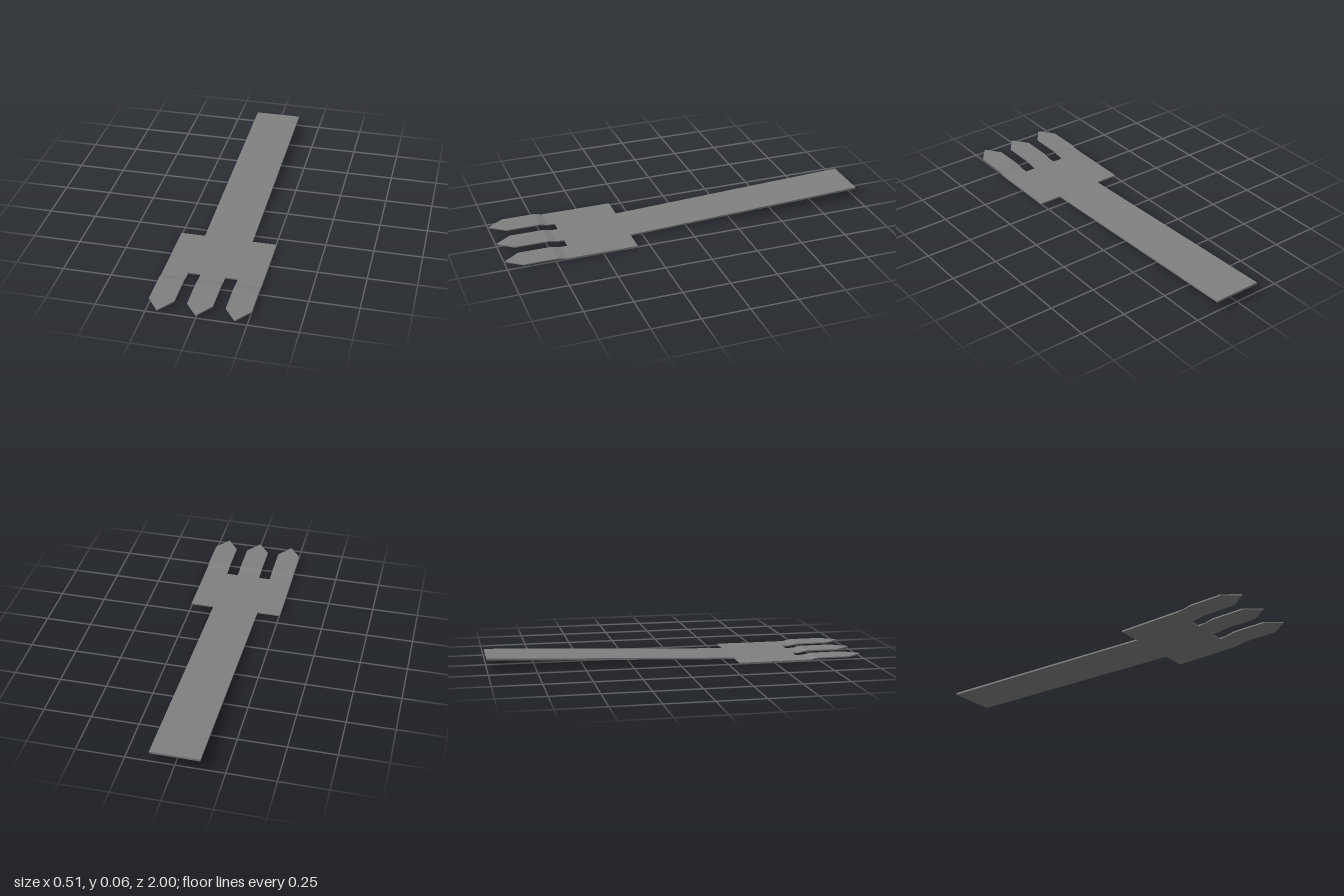
import * as THREE from 'three';

const material = new THREE.MeshStandardMaterial({ color: 0x808080, flatShading: true });

// Flat bar along z. Each station is [z, half width, bottom y, top y]; walls
// join neighbouring stations, and the chosen ends are capped.
function bar(name, x, stations, capBack, capFront) {
  const rings = stations.map(([z, w, bottom, top]) => [
    new THREE.Vector3(x - w, bottom, z),
    new THREE.Vector3(x + w, bottom, z),
    new THREE.Vector3(x + w, top, z),
    new THREE.Vector3(x - w, top, z),
  ]);
  const positions = [];
  const triangle = (a, b, c) => {
    if (new THREE.Triangle(a, b, c).getArea() < 1e-9) return; // collapsed at a point
    for (const p of [a, b, c]) positions.push(p.x, p.y, p.z);
  };
  const quad = (a, b, c, d) => {
    triangle(a, b, c);
    triangle(a, c, d);
  };
  for (let i = 0; i < rings.length - 1; i++) {
    const back = rings[i], front = rings[i + 1];
    for (let k = 0; k < 4; k++) {
      const n = (k + 1) % 4;
      quad(back[k], back[n], front[n], front[k]);
    }
  }
  const first = rings[0], last = rings[rings.length - 1];
  if (capBack) quad(first[3], first[2], first[1], first[0]);
  if (capFront) quad(last[0], last[1], last[2], last[3]);

  const geometry = new THREE.BufferGeometry();
  geometry.setAttribute('position', new THREE.Float32BufferAttribute(positions, 3));
  geometry.computeVertexNormals();
  const mesh = new THREE.Mesh(geometry, material);
  mesh.name = name;
  return mesh;
}

export function createModel() {
  const group = new THREE.Group();
  group.name = 'fork';

  // Handle, rising and thickening towards the back
  group.add(bar('handle', 0, [[-1, 0.127, 0.049, 0.06], [0.315, 0.127, 0, 0.008]], true, false));

  // Wide flat head
  group.add(bar('head', 0, [[0.315, 0.254, 0, 0.008], [0.655, 0.254, 0, 0.008]], true, true));

  // Three tines, each stepping up at a bend and ending in a point
  const names = ['rightTine', 'middleTine', 'leftTine'];
  names.forEach((name, i) => {
    group.add(bar(name, (i - 1) * 0.1905, [
      [0.655, 0.0635, 0, 0.008],
      [0.695, 0.0635, 0.004, 0.008],
      [0.74, 0.0635, 0.011, 0.0175],
      [0.915, 0.0635, 0.011, 0.0175],
      [1, 0, 0.011, 0.0175],
    ], false, false));
  });

  return group;
}
